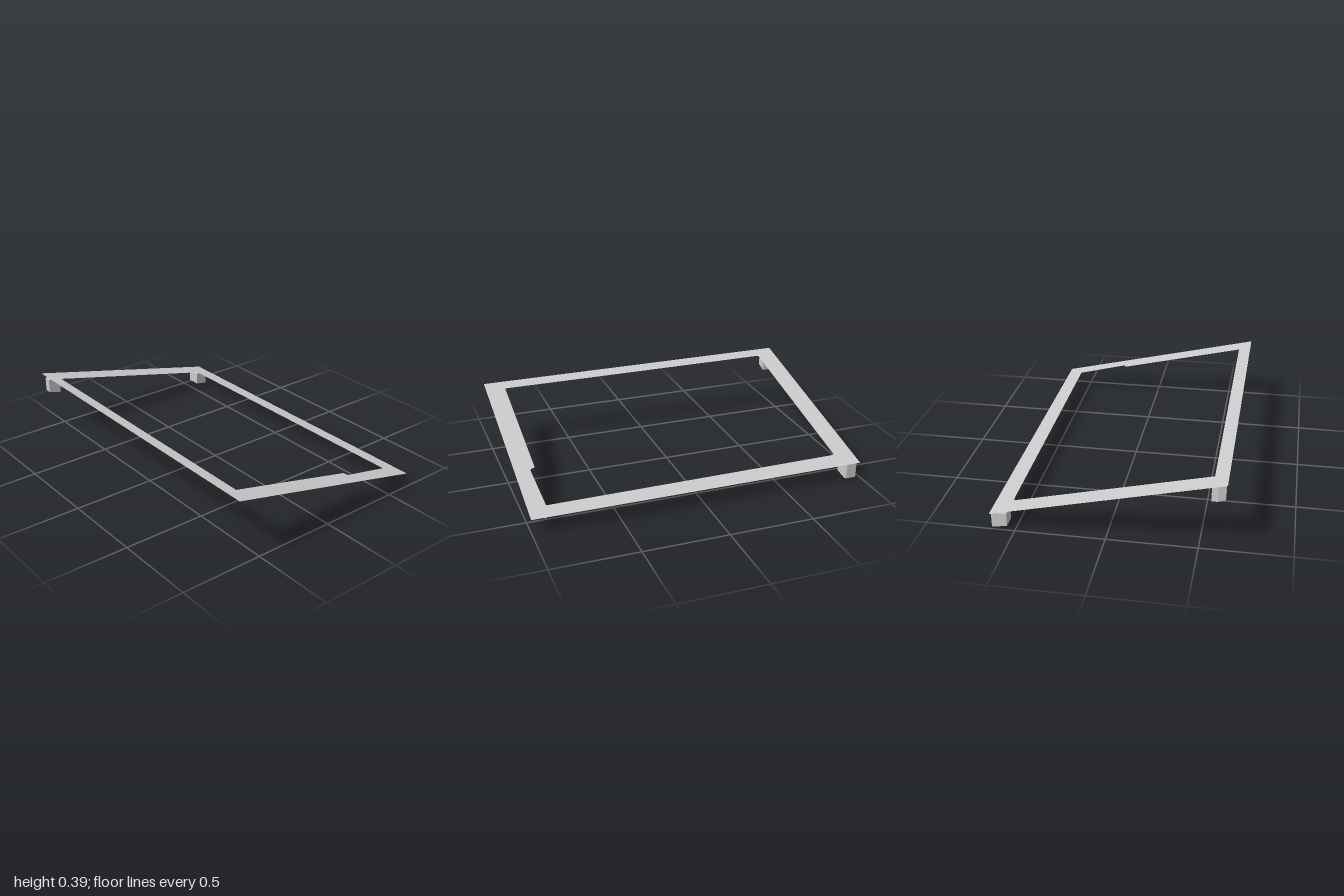
import * as THREE from 'three';

// Height of the tilted frame at depth z
const planeY = (z) => 0.242 + 0.234 * z;

export function createModel() {
  const model = new THREE.Group();
  const grey = new THREE.MeshStandardMaterial({ color: 0xcccccc, side: THREE.DoubleSide, flatShading: true });
  grey.name = 'light grey';

  const add = (name, geometry) => {
    geometry.computeVertexNormals();
    const mesh = new THREE.Mesh(geometry, grey);
    mesh.name = name;
    model.add(mesh);
  };
  // Plan-view points given as [x, z]
  const points = (list) => list.map(([x, z]) => new THREE.Vector2(x, -z));
  // Set the height of every vertex from its own position
  const setHeights = (geometry, rule) => {
    const p = geometry.attributes.position;
    for (let i = 0; i < p.count; i++) p.setY(i, rule(p.getY(i), p.getZ(i)));
    return geometry;
  };

  // Thin tilted frame with a notched opening
  const outline = new THREE.Shape(points([[-1, 0.64], [1, 0.64], [1, -0.64], [-1, -0.64]]));
  outline.holes.push(new THREE.Path(points([
    [-0.88, 0.564], [-0.88, -0.53], [-0.86, -0.535], [0.895, -0.547],
    [0.91, -0.24], [0.9, -0.232], [0.88, -0.225], [0.88, 0.564],
  ])));
  const frame = new THREE.ShapeGeometry(outline).rotateX(-Math.PI / 2);
  add('frame', setHeights(frame, (y, z) => planeY(z)));

  // Stub leg: a prism with a flat top and a foot sloping along z
  function leg(name, plan, top, foot) {
    const g = new THREE.ExtrudeGeometry(new THREE.Shape(points(plan)), { depth: 1, bevelEnabled: false });
    g.rotateX(-Math.PI / 2);
    add(name, setHeights(g, (y, z) => (y > 0.5 ? top : foot(z))));
  }
  leg('frontLeg',
    [[-0.965, 0.631], [-0.922, 0.631], [-0.915, 0.556], [-0.958, 0.556], [-0.97, 0.59]],
    0.37, (z) => 0.268 + 0.22 * (z - 0.556));
  leg('backLeg',
    [[-0.985, -0.547], [-0.904, -0.547], [-0.906, -0.628], [-0.916, -0.636], [-0.974, -0.636], [-0.983, -0.628]],
    0.092, (z) => 0.19 * (z + 0.636));

  // Tiny splinter under the back edge
  add('splinter', new THREE.BufferGeometry().setFromPoints([
    new THREE.Vector3(0.912, 0.093, -0.634),
    new THREE.Vector3(0.922, 0.08, -0.637),
    new THREE.Vector3(0.924, 0.093, -0.634),
  ]));

  return model;
}
